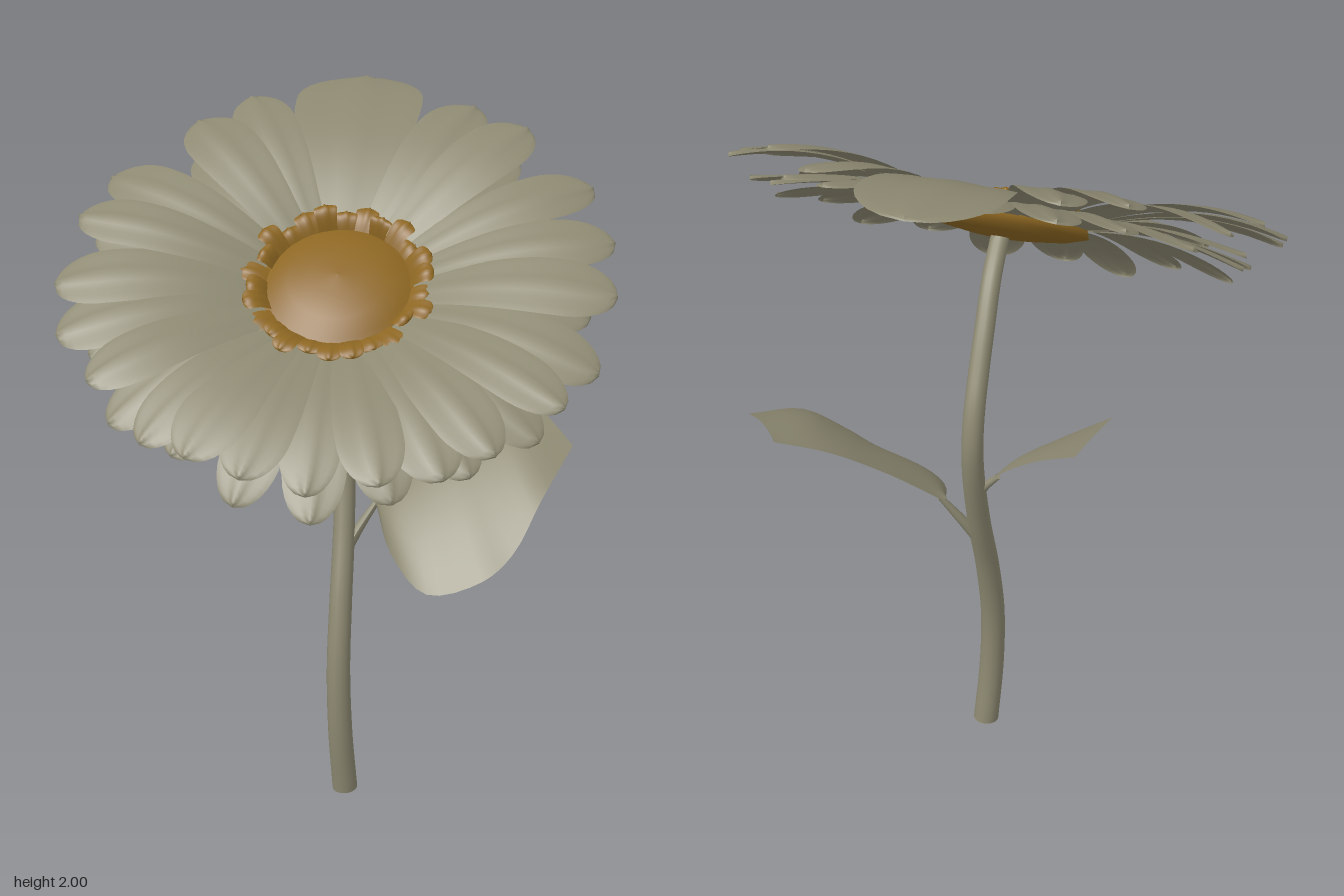
import * as THREE from 'three';

const petalMat = new THREE.MeshStandardMaterial({ color: 0x8c8871, side: THREE.DoubleSide });
petalMat.name = 'grey olive';
const discMat = new THREE.MeshStandardMaterial({ color: 0x8c6622, side: THREE.DoubleSide });
discMat.name = 'ochre';

const V = (x, y, z) => new THREE.Vector3(x, y, z);

function addMesh(parent, name, geometry, material) {
  const mesh = new THREE.Mesh(geometry, material);
  mesh.name = name;
  parent.add(mesh);
  return mesh;
}

// Petal along +z: narrow base, rounded tip, cambered across; height(t) is its profile
function petalGeometry(r0, r1, halfWidth, height, camber, baseWidth = 0.45) {
  const g = new THREE.PlaneGeometry(1, 1, 8, 18);
  const p = g.attributes.position;
  for (let i = 0; i < p.count; i++) {
    const v = p.getX(i) * 2;
    const s = p.getY(i) + 0.5;
    const t = 1 - (1 - s) ** 1.5; // rows gather near the tip
    const grow = baseWidth + (1 - baseWidth) * THREE.MathUtils.smoothstep(t, 0, 0.75);
    const round = t > 0.78 ? Math.sqrt(Math.max(0, 1 - ((t - 0.78) / 0.22) ** 2)) : 1;
    const ripple = 0.003 * Math.cos(v * 7) * t;
    p.setXYZ(i, v * halfWidth * grow * round, height(t) - camber * v * v * t + ripple, r0 + (r1 - r0) * t);
  }
  g.computeVertexNormals();
  return g;
}

// Tube whose radius shrinks from r0 to r1
function taperedTube(points, r0, r1, segments, sides) {
  const curve = new THREE.CatmullRomCurve3(points);
  const g = new THREE.TubeGeometry(curve, segments, 1, sides);
  const p = g.attributes.position;
  const q = new THREE.Vector3();
  for (let i = 0; i < p.count; i++) {
    const t = Math.floor(i / (sides + 1)) / segments;
    const c = curve.getPointAt(t);
    q.fromBufferAttribute(p, i).sub(c).multiplyScalar(r0 + (r1 - r0) * t).add(c);
    p.setXYZ(i, q.x, q.y, q.z);
  }
  g.computeVertexNormals();
  return g;
}

// Leaf blade spanned between two edge curves, bulging along the given direction
function leafGeometry(edgeA, edgeB, bulge) {
  const a = new THREE.CatmullRomCurve3(edgeA);
  const b = new THREE.CatmullRomCurve3(edgeB);
  const g = new THREE.PlaneGeometry(1, 1, 10, 24);
  const p = g.attributes.position;
  for (let i = 0; i < p.count; i++) {
    const u = p.getX(i) + 0.5;
    const t = p.getY(i) + 0.5;
    const q = a.getPoint(t).lerp(b.getPoint(t), u);
    q.addScaledVector(bulge, 4 * u * (1 - u) * Math.sin(Math.PI * (0.1 + 0.8 * t)));
    p.setXYZ(i, q.x, q.y, q.z);
  }
  g.computeVertexNormals();
  return g;
}

export function createModel() {
  const model = new THREE.Group();
  model.name = 'daisy';

  // Stem
  const stemPath = [V(0.006, 0, -0.085), V(-0.006, 0.2, -0.068), V(-0.012, 0.4, -0.075), V(-0.01, 0.6, -0.115),
    V(-0.008, 0.8, -0.18), V(-0.012, 1, -0.238), V(-0.014, 1.1, -0.25), V(-0.014, 1.2, -0.232),
    V(-0.012, 1.3, -0.185), V(-0.01, 1.4, -0.13), V(-0.005, 1.5, -0.06), V(0, 1.58, 0.03)];
  addMesh(model, 'stem', taperedTube(stemPath, 0.037, 0.025, 60, 14), petalMat);
  const cap = addMesh(model, 'stemBase', new THREE.CircleGeometry(0.037, 14), petalMat);
  cap.rotation.x = Math.PI / 2;
  cap.position.set(0.006, 0.001, -0.085);

  // Large leaf on the left, small leaf on the right, each with a stalk
  addMesh(model, 'largeLeaf', leafGeometry(
    [V(0.08, 0.88, -0.22), V(0.2, 1.02, -0.33), V(0.32, 1.12, -0.42), V(0.44, 1.175, -0.49)],
    [V(0.08, 0.87, -0.21), V(0.14, 0.79, -0.04), V(0.25, 0.73, 0.08), V(0.4, 0.775, 0.075),
      V(0.48, 0.85, 0.05), V(0.55, 0.97, -0.05), V(0.63, 1.06, -0.24)],
    V(-0.02, 0.035, 0.01)), petalMat);
  addMesh(model, 'largeLeafStalk', taperedTube(
    [V(0, 0.74, -0.17), V(0.035, 0.8, -0.19), V(0.09, 0.885, -0.215)], 0.018, 0.008, 10, 8), petalMat);
  addMesh(model, 'smallLeaf', leafGeometry(
    [V(-0.06, 0.99, -0.23), V(-0.12, 1.06, -0.27), V(-0.21, 1.13, -0.3), V(-0.31, 1.175, -0.315)],
    [V(-0.06, 0.98, -0.22), V(-0.11, 1, -0.12), V(-0.2, 1.035, -0.05), V(-0.325, 1.095, 0)],
    V(0, 0.012, 0)), petalMat);
  addMesh(model, 'smallLeafStalk', taperedTube(
    [V(-0.01, 0.9, -0.21), V(-0.035, 0.95, -0.22), V(-0.075, 0.995, -0.22)], 0.016, 0.008, 10, 8), petalMat);

  // Flower head, tilted to the front
  const head = new THREE.Group();
  head.name = 'flowerHead';
  head.position.set(0, 1.597, 0.065);
  head.rotation.x = 0.575;
  model.add(head);

  // Upper petals, cupped most at the sides, one for each tip position in the plane of the head
  const tips = [[-0.3, -0.64], [-0.43, -0.52], [-0.64, -0.32], [-0.69, -0.14], [-0.72, 0.08], [-0.69, 0.24],
    [-0.58, 0.4], [-0.43, 0.55], [-0.31, 0.6], [-0.17, 0.65], [-0.01, 0.67], [0.17, 0.66], [0.32, 0.62],
    [0.44, 0.55], [0.6, 0.42], [0.68, 0.29], [0.72, 0.07], [0.71, -0.12], [0.65, -0.33], [0.47, -0.52], [0.32, -0.64]];
  tips.forEach(([x, z], i) => {
    const r = Math.hypot(x, z);
    const cup = 0.092 + 0.033 * Math.abs(x) / r;
    const droop = (z < 0 ? 0.035 * z / r : 0) + 0.02 * Math.sin(i * 2.4);
    const g = petalGeometry(0.1, r, 0.084 + 0.008 * Math.sin(i * 1.7),
      t => -0.02 + cup * Math.sin(t * 2.2) + droop * t * t, 0.012);
    addMesh(head, 'upperPetal', g, petalMat).rotation.y = Math.atan2(x, z);
  });

  // Broad petal at the back
  addMesh(head, 'broadPetal', petalGeometry(0.1, 0.825, 0.175,
    t => -0.015 + 0.1 * Math.sin(t * 2.6) - 0.1 * t * t, 0.012, 0.45), petalMat).rotation.y = Math.PI;

  // Lower petals fill the gaps and droop at the front
  const lowerCount = 21;
  for (let i = 0; i < lowerCount; i++) {
    const angle = Math.PI + (i + 0.5) / lowerCount * Math.PI * 2;
    const end = -0.025 - 0.02 * Math.cos(angle) + 0.03 * Math.abs(Math.sin(angle)) + 0.015 * Math.sin(i * 3.3);
    const g = petalGeometry(0.1, 0.655 + 0.02 * Math.cos(angle) + 0.03 * Math.sin(i * 2.1), 0.08,
      t => -0.01 + 0.045 * Math.sin(t * Math.PI) + end * t * t, 0.012);
    addMesh(head, 'lowerPetal', g, petalMat).rotation.y = angle;
  }

  // Domed centre with its shallow underside, a little forward in the cup
  const centre = new THREE.Group();
  centre.name = 'flowerCentre';
  centre.position.set(0.008, -0.008, 0.014);
  head.add(centre);
  const profile = [[0.001, -0.036], [0.08, -0.03], [0.17, -0.018], [0.228, 0.0], [0.22, 0.024], [0.19, 0.032],
    [0.177, 0.046], [0.13, 0.063], [0.07, 0.075], [0.001, 0.079]].map(([r, y]) => new THREE.Vector2(r, y));
  addMesh(centre, 'centreDome', new THREE.LatheGeometry(profile, 40), discMat);

  // Ragged ring of florets around the dome
  const florets = 26;
  for (let i = 0; i < florets; i++) {
    const angle = i / florets * Math.PI * 2;
    const rise = 0.038 + 0.014 * Math.sin(i * 1.9) - 0.006 * Math.cos(angle);
    const g = petalGeometry(0.175, 0.247 + 0.018 * Math.sin(i * 2.7) + 0.008 * Math.cos(angle), 0.031,
      t => 0.026 + rise * Math.sin(t * 2), 0.008, 0.75);
    addMesh(centre, 'floret', g, discMat).rotation.y = angle;
  }
  return model;
}
